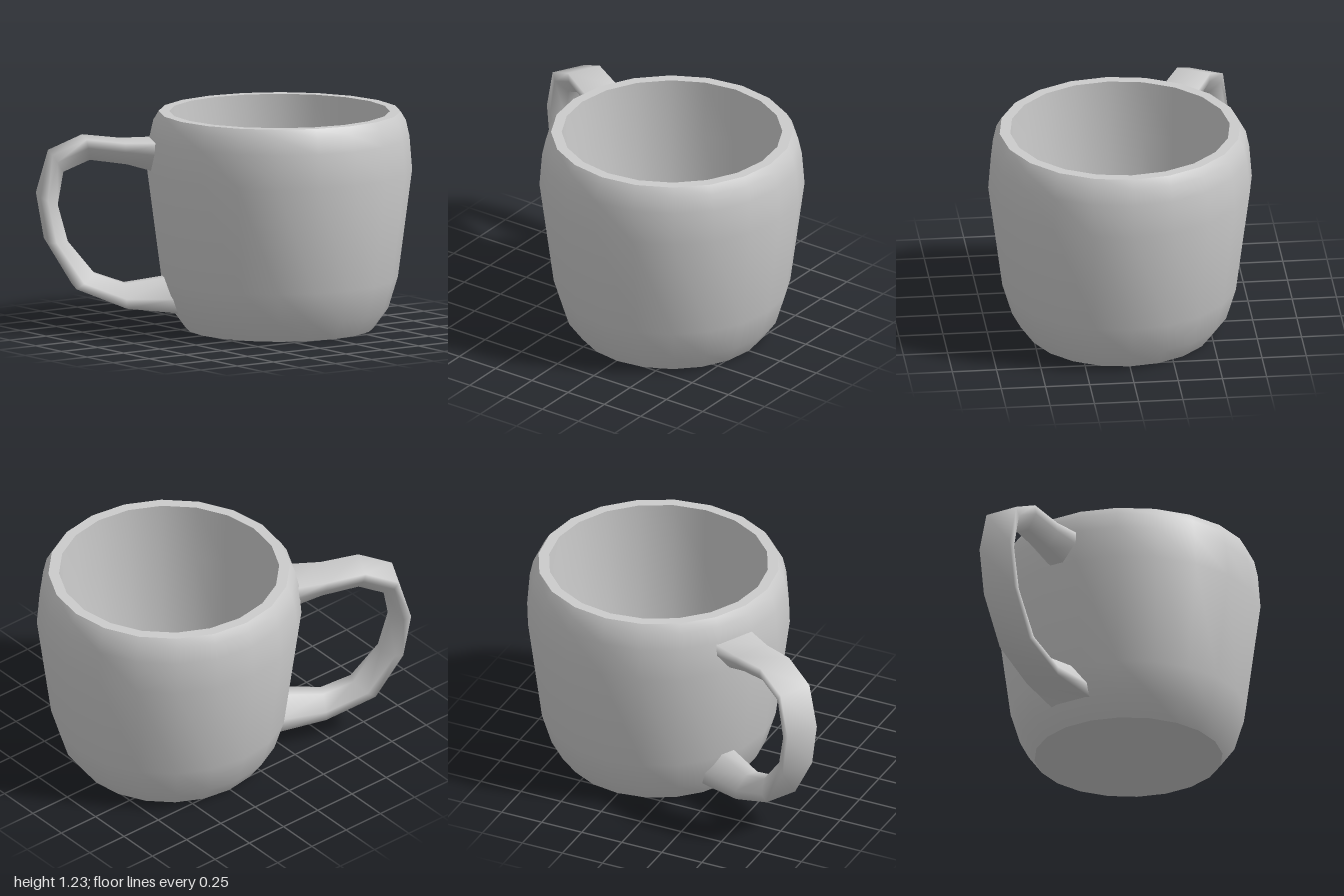
import * as THREE from 'three';
import { toCreasedNormals } from 'three/addons/utils/BufferGeometryUtils.js';

const material = new THREE.MeshStandardMaterial({ color: 0xcccccc });

// Loft a six-sided section along stations [outer r, outer y, inner r, inner y, half width]
function loftHandle(stations) {
  // section corners: [fraction of half width, fraction from outer to inner side]
  const section = [[1, 0], [1, 0.4], [0.35, 1], [-0.35, 1], [-1, 0.4], [-1, 0]];
  const n = section.length;
  const positions = [], index = [];
  stations.forEach(([ro, yo, ri, yi, w], i) => {
    section.forEach(([s, t], j) => {
      positions.push(ro + (ri - ro) * t, yo + (yi - yo) * t, w * s);
      if (i === stations.length - 1) return;
      const a = i * n + j, b = i * n + (j + 1) % n;
      index.push(a, b, a + n, b, b + n, a + n);
    });
  });
  const geometry = new THREE.BufferGeometry();
  geometry.setAttribute('position', new THREE.Float32BufferAttribute(positions, 3));
  geometry.setIndex(index);
  geometry.computeVertexNormals();
  return geometry;
}

export function createModel() {
  const mug = new THREE.Group();
  mug.name = 'mug';
  mug.position.x = 0.255;

  // Hollow body: base, bulging outer wall, flat rim, inner wall, floor
  const profile = [
    [0, 0], [0.53, 0], [0.61, 0.11], [0.665, 0.29], [0.745, 0.9],
    [0.73, 1.09], [0.71, 1.18], [0.68, 1.23],
    [0.62, 1.23], [0.605, 0.9], [0.57, 0.35], [0.525, 0.1], [0, 0.1],
  ].map(([x, y]) => new THREE.Vector2(x, y));
  const body = new THREE.Mesh(
    toCreasedNormals(new THREE.LatheGeometry(profile, 20), THREE.MathUtils.degToRad(40)),
    material
  );
  body.name = 'body';
  mug.add(body);

  // Handle: flat outside, narrower inside, flared where it meets the body
  const handle = new THREE.Mesh(loftHandle([
    [0.66, 1.08, 0.66, 0.89, 0.128],
    [0.89, 1.08, 0.87, 0.95, 0.105],
    [1.107, 1.105, 1.08, 0.98, 0.1],
    [1.3, 1.02, 1.23, 0.915, 0.1],
    [1.368, 0.78, 1.262, 0.73, 0.102],
    [1.323, 0.52, 1.205, 0.52, 0.102],
    [1.164, 0.255, 1.05, 0.33, 0.1],
    [0.881, 0.14, 0.878, 0.27, 0.105],
    [0.59, 0.11, 0.59, 0.31, 0.128],
  ]), material);
  handle.name = 'handle';
  handle.rotation.y = THREE.MathUtils.degToRad(152);
  mug.add(handle);

  const model = new THREE.Group();
  model.add(mug);
  return model;
}
